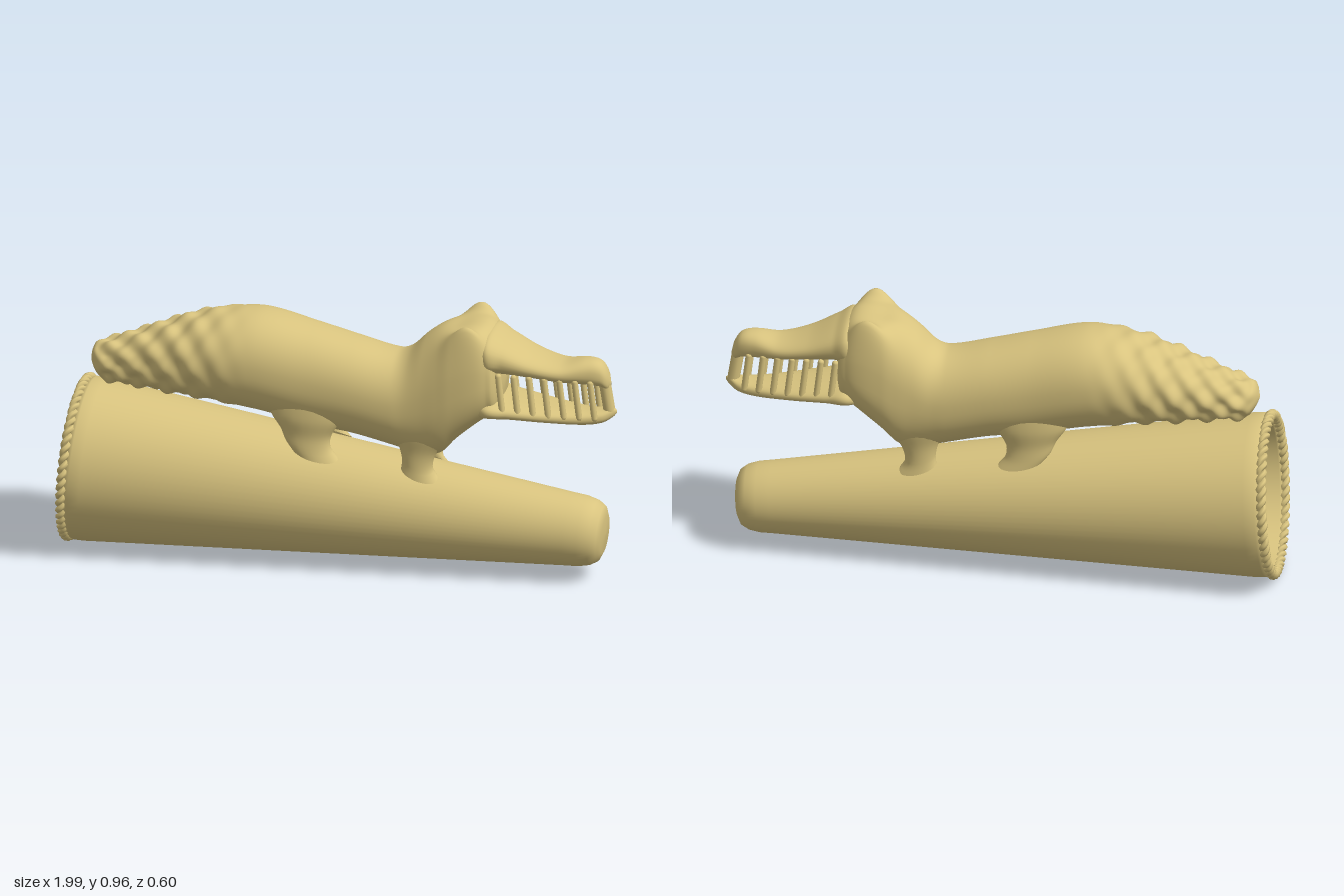
import * as THREE from 'three';

const gold = new THREE.MeshStandardMaterial({ color: 0xd9c47f, side: THREE.DoubleSide });
gold.name = 'sand gold';

const gauss = (v, width) => Math.exp(-((v / width) ** 2));
const signedPow = (v, p) => Math.sign(v) * Math.abs(v) ** p;

// Smooth interpolation of every column of a table whose first column is the position
function sample(rows, x) {
  let i = 0;
  while (i < rows.length - 2 && x > rows[i + 1][0]) i++;
  const a = rows[Math.max(i - 1, 0)], b = rows[i], c = rows[i + 1], d = rows[Math.min(i + 2, rows.length - 1)];
  const h = c[0] - b[0], t = (x - b[0]) / h;
  return b.map((v, k) => {
    if (k === 0) return x;
    const m0 = ((c[k] - a[k]) / (c[0] - a[0])) * h;
    const m1 = ((d[k] - v) / (d[0] - b[0])) * h;
    return (2 * t ** 3 - 3 * t ** 2 + 1) * v + (t ** 3 - 2 * t ** 2 + t) * m0
      + (3 * t ** 2 - 2 * t ** 3) * c[k] + (t ** 3 - t ** 2) * m1;
  });
}

// Closed skin through a series of rings
function skin(rings) {
  const n = rings[0].length, pos = [], idx = [];
  rings.forEach(r => r.forEach(p => pos.push(...p)));
  for (let i = 0; i < rings.length - 1; i++) {
    for (let j = 0; j < n; j++) {
      const a = i * n + j, c = i * n + (j + 1) % n;
      idx.push(a, a + n, c, a + n, c + n, c);
    }
  }
  const g = new THREE.BufferGeometry();
  g.setAttribute('position', new THREE.Float32BufferAttribute(pos, 3));
  g.setIndex(idx);
  g.computeVertexNormals();
  return g;
}

// Lengthwise form from rows of [x, top, bottom, half width, squareness]
function lengthwise(rows, steps, sides, bump = () => [0, 0]) {
  const rings = [], x0 = rows[0][0], x1 = rows[rows.length - 1][0];
  for (let i = 0; i <= steps; i++) {
    const [x, top, bottom, w, e] = sample(rows, x0 + (x1 - x0) * i / steps);
    const ring = [];
    for (let j = 0; j < sides; j++) {
      const t = (j / sides) * Math.PI * 2;
      const z = Math.max(w, 0.001) * signedPow(Math.cos(t), 2 / e);
      const y = (top + bottom) / 2 + (top - bottom) / 2 * signedPow(Math.sin(t), 2 / e);
      const [swell, lift] = bump(x, t, z);
      ring.push([x, y + swell * Math.sin(t) + lift, z + swell * Math.cos(t)]);
    }
    rings.push(ring);
  }
  return skin(rings);
}

const BODY = [
  [-0.912, 0.69, 0.685, 0.002, 2], [-0.9, 0.735, 0.655, 0.045, 2], [-0.87, 0.75, 0.615, 0.075, 2],
  [-0.8, 0.775, 0.605, 0.1, 2], [-0.7, 0.815, 0.597, 0.125, 2], [-0.6, 0.855, 0.587, 0.15, 2],
  [-0.5, 0.89, 0.577, 0.17, 2], [-0.4, 0.91, 0.565, 0.182, 2.1], [-0.28, 0.915, 0.55, 0.182, 2.2],
  [-0.1, 0.875, 0.51, 0.17, 2.2], [0.05, 0.837, 0.49, 0.165, 2.2], [0.2, 0.804, 0.455, 0.16, 2.2],
  [0.25, 0.82, 0.44, 0.158, 2.2], [0.31, 0.877, 0.43, 0.16, 2.3], [0.37, 0.92, 0.445, 0.165, 2.5],
  [0.42, 0.935, 0.5, 0.168, 2.8], [0.5, 0.94, 0.57, 0.163, 2.9], [0.55, 0.92, 0.605, 0.148, 2.6],
  [0.58, 0.87, 0.63, 0.12, 2.3], [0.6, 0.76, 0.74, 0.002, 2],
];
const UPPER_JAW = [
  [0.48, 0.86, 0.79, 0.05, 2.2], [0.54, 0.92, 0.765, 0.145, 2.4], [0.6, 0.893, 0.765, 0.132, 2.3],
  [0.7, 0.843, 0.755, 0.108, 2.2], [0.8, 0.818, 0.742, 0.085, 2.2], [0.89, 0.83, 0.735, 0.06, 2.3],
  [0.94, 0.82, 0.73, 0.045, 2.4], [0.965, 0.785, 0.72, 0.028, 2.2], [0.975, 0.745, 0.735, 0.002, 2],
];
const LOWER_JAW = [
  [0.46, 0.65, 0.6, 0.05, 2.2], [0.54, 0.68, 0.603, 0.145, 2.4], [0.62, 0.668, 0.602, 0.13, 2.4],
  [0.75, 0.65, 0.593, 0.1, 2.4], [0.88, 0.64, 0.586, 0.062, 2.4], [0.95, 0.643, 0.596, 0.04, 2.4],
  [0.985, 0.65, 0.618, 0.014, 2.2], [0.996, 0.64, 0.632, 0.002, 2],
];

// Knobbly tail scales and raised, outward pointing brows
function bodyBump(x, t, z) {
  const ramp = THREE.MathUtils.smoothstep(-x, 0.3, 0.6) * THREE.MathUtils.smoothstep(x, -0.91, -0.84);
  const scales = 0.012 * ramp * Math.sin(x * 58) * Math.cos(6 * t);
  const upper = THREE.MathUtils.smoothstep(Math.sin(t), 0.1, 0.7);
  const brow = 0.075 * upper * gauss(x - 0.475, 0.07) * gauss(Math.abs(z) - 0.15, 0.04);
  const hollow = -0.012 * upper * gauss(x - 0.42, 0.07) * gauss(z, 0.07);
  return [scales, brow + hollow];
}

// Rounded bar between two points
function bar(a, b, radius) {
  const from = new THREE.Vector3(...a), dir = new THREE.Vector3(...b).sub(from);
  const g = new THREE.CapsuleGeometry(radius, dir.length(), 4, 10);
  g.applyQuaternion(new THREE.Quaternion().setFromUnitVectors(new THREE.Vector3(0, 1, 0), dir.clone().normalize()));
  const mid = from.addScaledVector(dir, 0.5);
  return g.translate(mid.x, mid.y, mid.z);
}

// Upright leg from rows of [y, x, z, x radius, z radius]; the sole slopes outward and forward
function leg(rows, side) {
  const rings = [], y0 = rows[0][0], y1 = rows[rows.length - 1][0];
  for (let i = 0; i <= 20; i++) {
    const [y, x, z, rx, rz] = sample(rows, y0 + (y1 - y0) * i / 20);
    const ring = [];
    for (let j = 0; j < 24; j++) {
      const t = (j / 24) * Math.PI * 2, sole = 1 - i / 20;
      const drop = sole * (0.018 * Math.cos(t) + 0.02 * side * Math.sin(t));
      ring.push([x + rx * Math.cos(t), y - drop, side * z + rz * Math.sin(t)]);
    }
    rings.push(ring);
  }
  return skin(rings);
}

const FRONT_LEG = [[0.375, 0.3, 0.088, 0.068, 0.034], [0.41, 0.29, 0.082, 0.055, 0.036],
  [0.47, 0.29, 0.08, 0.07, 0.04], [0.54, 0.3, 0.08, 0.12, 0.055], [0.64, 0.3, 0.08, 0.14, 0.06]];
const REAR_LEG = [[0.432, -0.075, 0.115, 0.083, 0.037], [0.465, -0.1, 0.112, 0.082, 0.037],
  [0.51, -0.11, 0.105, 0.092, 0.042], [0.57, -0.11, 0.1, 0.13, 0.055], [0.66, -0.11, 0.09, 0.15, 0.06]];

// Twisted strand running around the rim
class StrandCurve extends THREE.Curve {
  constructor(phase) { super(); this.phase = phase; }
  getPoint(t, target = new THREE.Vector3()) {
    const u = t * Math.PI * 2, v = u * 28 + this.phase, r = 0.283 + 0.009 * Math.cos(v);
    return target.set(r * Math.cos(u), -0.006 + 0.009 * Math.sin(v), r * Math.sin(u));
  }
}

export function createModel() {
  const model = new THREE.Group();
  model.name = 'crocodileOnHorn';
  const add = (parent, name, geometry) => {
    const mesh = new THREE.Mesh(geometry, gold);
    mesh.name = name;
    parent.add(mesh);
    return mesh;
  };

  // Hollow tapering horn with a blunt tip
  const horn = new THREE.Group();
  horn.name = 'horn';
  horn.position.set(-0.952, 0.302, 0);
  horn.rotation.z = -Math.PI / 2 - 0.07;
  model.add(horn);
  const profile = [[0, 1.86], [0.08, 1.85], [0.105, 1.8], [0.266, 0.01], [0.27, 0], [0.286, 0], [0.293, 0.02],
    [0.292, 0.06], [0.131, 1.78], [0.127, 1.83], [0.117, 1.87], [0.1, 1.896], [0.07, 1.909], [0, 1.912]];
  add(horn, 'hornShell', new THREE.LatheGeometry(profile.map(p => new THREE.Vector2(...p)), 64));
  for (const phase of [0, Math.PI]) {
    add(horn, 'rimRope', new THREE.TubeGeometry(new StrandCurve(phase), 560, 0.011, 6, true));
  }

  // Crocodile body and open jaws
  const crocodile = new THREE.Group();
  crocodile.name = 'crocodile';
  model.add(crocodile);
  add(crocodile, 'body', lengthwise(BODY, 200, 72, bodyBump));
  add(crocodile, 'upperJaw', lengthwise(UPPER_JAW, 60, 36));
  add(crocodile, 'lowerJaw', lengthwise(LOWER_JAW, 60, 36));
  add(crocodile, 'frontTooth', bar([0.947, 0.77, 0], [0.968, 0.64, 0], 0.022));

  // Legs and bar-like teeth on both sides
  for (const side of [1, -1]) {
    add(crocodile, 'frontLeg', leg(FRONT_LEG, side));
    add(crocodile, 'rearLeg', leg(REAR_LEG, side));
    for (let i = 0; i < 7; i++) {
      const x = 0.598 + i * 0.053;
      const zTop = sample(UPPER_JAW, x)[3] * 0.86, zBottom = sample(LOWER_JAW, x)[3] * 0.86;
      add(crocodile, 'tooth', bar([x - 0.008, 0.775 - i * 0.004, side * zTop],
        [x + 0.008, 0.638 - i * 0.003, side * zBottom], 0.0115));
    }
  }
  return model;
}
